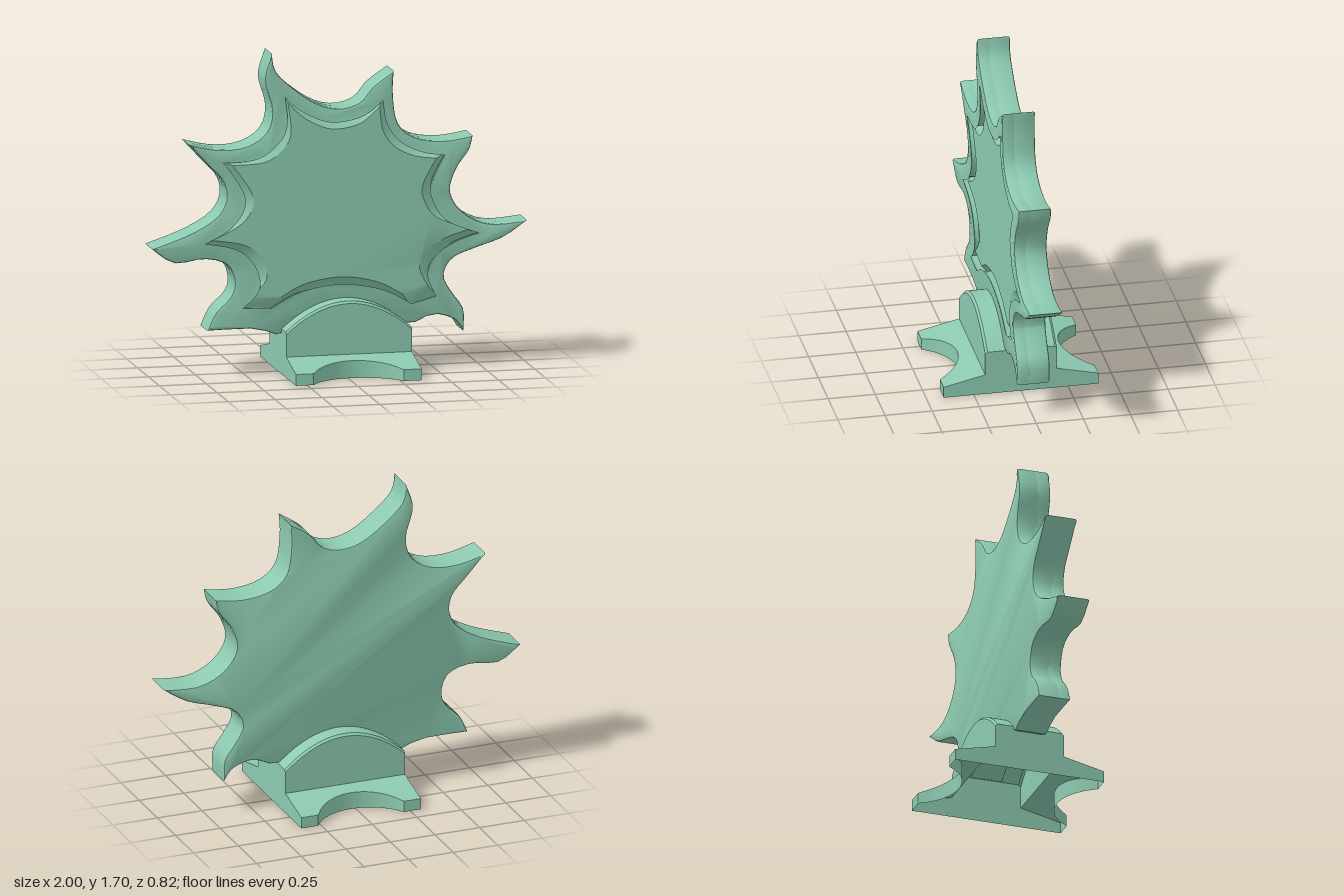
import * as THREE from 'three';
import { mergeGeometries, toCreasedNormals } from 'three/addons/utils/BufferGeometryUtils.js';

const material = new THREE.MeshStandardMaterial({ color: 0x8ccab0, side: THREE.DoubleSide });

// Each row is one scalloped edge, from spike tip to the next row's tip (clockwise)
const OUTER = [
  [-0.36, 1.695, -0.34, 1.6, -0.25, 1.51, -0.12, 1.42, 0, 1.39, 0.11, 1.42, 0.18, 1.5],
  [0.29, 1.575, 0.285, 1.45, 0.31, 1.3, 0.4, 1.22, 0.55, 1.195],
  [0.71, 1.215, 0.69, 1.14, 0.62, 1.04, 0.59, 0.92, 0.66, 0.81, 0.8, 0.745],
  [1, 0.755, 0.87, 0.67, 0.72, 0.62, 0.6, 0.57, 0.555, 0.48, 0.6, 0.39, 0.66, 0.3],
  [0.66, 0.185, 0.61, 0.25, 0.5, 0.28, 0.36, 0.235, 0.22, 0.31, 0.02, 0.35, -0.18, 0.31, -0.31, 0.21, -0.45, 0.245],
  [-0.705, 0.245, -0.66, 0.34, -0.58, 0.42, -0.56, 0.5, -0.6, 0.59, -0.72, 0.625, -0.88, 0.61],
  [-1, 0.69, -0.8, 0.76, -0.66, 0.84, -0.605, 0.93, -0.62, 1.03, -0.7, 1.12],
  [-0.805, 1.235, -0.65, 1.2, -0.5, 1.21, -0.39, 1.28, -0.36, 1.4, -0.4, 1.56],
];
const INNER = [
  [-0.31, 1.5, -0.22, 1.41, -0.1, 1.345, 0, 1.33, 0.13, 1.36],
  [0.24, 1.45, 0.26, 1.31, 0.33, 1.21, 0.45, 1.15],
  [0.58, 1.13, 0.5, 0.98, 0.505, 0.89, 0.58, 0.78],
  [0.78, 0.7, 0.62, 0.65, 0.51, 0.57, 0.48, 0.48],
  [0.53, 0.37],
  [0.38, 0.33, 0.23, 0.41, 0.02, 0.45, -0.2, 0.42],
  [-0.36, 0.34],
  [-0.54, 0.35, -0.44, 0.45, -0.46, 0.57, -0.56, 0.66],
  [-0.76, 0.7, -0.6, 0.78, -0.52, 0.88, -0.53, 0.98],
  [-0.64, 1.14, -0.45, 1.15, -0.34, 1.22, -0.29, 1.32],
];

// Closed outline: a smooth curve per scallop, with sharp corners between them
function outline(rows) {
  const points = [];
  rows.forEach((row, i) => {
    const next = rows[(i + 1) % rows.length];
    const flat = [...row, next[0], next[1]];
    const knots = [];
    for (let k = 0; k < flat.length; k += 2) knots.push(new THREE.Vector2(flat[k], flat[k + 1]));
    const samples = new THREE.SplineCurve(knots).getPoints(knots.length > 2 ? 20 : 1);
    points.push(...samples.slice(0, -1));
  });
  return points;
}

// Surface through rows of points with equal counts
function loft(rows) {
  const pos = [];
  for (let i = 0; i < rows.length - 1; i++) {
    for (let j = 0; j < rows[i].length - 1; j++) {
      const a = rows[i][j], b = rows[i][j + 1], c = rows[i + 1][j + 1], d = rows[i + 1][j];
      for (const p of [a, b, c, a, c, d]) pos.push(p.x, p.y, p.z);
    }
  }
  const geo = new THREE.BufferGeometry();
  geo.setAttribute('position', new THREE.Float32BufferAttribute(pos, 3));
  geo.computeVertexNormals();
  return geo;
}

// Extruded slab between two z values, with slightly softened edges
function slab(shape, z0, z1) {
  const b = 0.012;
  const geo = new THREE.ExtrudeGeometry(shape, {
    depth: z1 - z0 - 2 * b, bevelThickness: b, bevelSize: b, bevelOffset: -b, bevelSegments: 2,
  });
  return geo.translate(0, 0, z0 + b);
}

function bare(geo) {
  const g = geo.index ? geo.toNonIndexed() : geo;
  g.deleteAttribute('uv');
  return g;
}

function addMesh(group, name, geo) {
  const mesh = new THREE.Mesh(toCreasedNormals(geo, 0.55), material);
  mesh.name = name;
  group.add(mesh);
}

// Half-section of the stand at a given x, mirrored to the back
const MID = 0.025, HALF = 0.335;
function standSection(x) {
  const dx = x - MID;
  const cut = 0.542 - Math.sqrt(Math.max(0, 0.272 ** 2 - dx * dx));
  const edge = Math.min(0.41, cut);
  const slopeY = 0.06 + 0.05 * (0.41 - edge) / 0.22;
  const top = 0.39 - 0.15 * (dx / HALF) ** 2;
  const half = [[edge, 0], [edge, slopeY], [0.19, 0.11], [0.19, top - 0.012], [0.178, top]];
  const back = half.map(([z, y]) => [-z, y]).reverse();
  return [...half, ...back].map(([z, y]) => new THREE.Vector3(x, y, z));
}

export function createModel() {
  const group = new THREE.Group();
  group.name = 'spikedPlaqueOnStand';

  // Spiked plaque body
  const outer = outline(OUTER);
  const inner = outline(INNER);
  addMesh(group, 'plaqueBody', slab(new THREE.Shape(outer), -0.09, 0.035));

  // Raised rim following the spikes
  const rimShape = new THREE.Shape(outer);
  rimShape.holes.push(new THREE.Path(inner));
  addMesh(group, 'plaqueRim', slab(rimShape, 0, 0.085));

  // Centre panel with sloping border
  const panelTop = inner.map((p) => new THREE.Vector2(0.02 + (p.x - 0.02) * 0.89, 0.88 + (p.y - 0.88) * 0.89));
  const ring = (pts, z) => [...pts, pts[0]].map((p) => new THREE.Vector3(p.x, p.y, z));
  const panelFace = new THREE.ShapeGeometry(new THREE.Shape(panelTop)).translate(0, 0, 0.07);
  const border = loft([ring(panelTop, 0.07), ring(inner, 0.033)]);
  addMesh(group, 'centrePanel', mergeGeometries([bare(panelFace), border]));

  // Hollow arched stand with scooped feet, open underneath
  const rows = [];
  const steps = 64;
  for (let i = 0; i <= steps; i++) rows.push(standSection(MID + HALF - (2 * HALF * i) / steps));
  const parts = [loft(rows)];
  for (const side of [1, -1]) {
    const profile = standSection(MID + side * HALF).map((p) => new THREE.Vector2(-p.z, p.y));
    const cap = new THREE.ShapeGeometry(new THREE.Shape(profile));
    cap.rotateY(side * Math.PI / 2).translate(MID + side * HALF, 0, 0);
    parts.push(bare(cap));
  }
  addMesh(group, 'stand', mergeGeometries(parts));

  return group;
}
